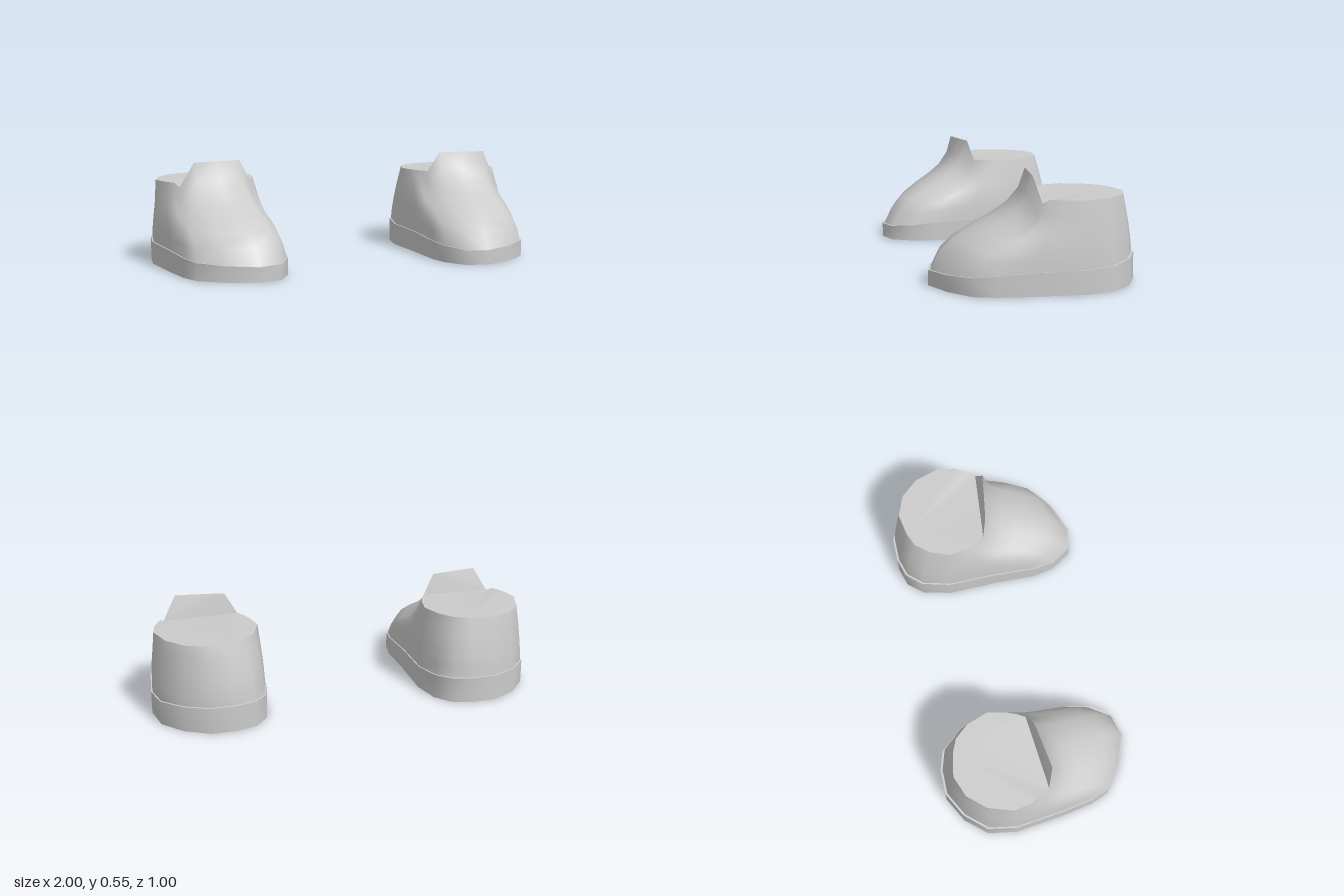
import * as THREE from 'three';

// Sole outline [x, z], clockwise from the heel as seen from above
const SOLE = [
  [0.62, -0.5], [0.75, -0.5], [0.88, -0.43], [0.975, -0.32], [1, -0.17], [0.97, 0.08],
  [0.94, 0.25], [0.9, 0.35], [0.78, 0.44], [0.62, 0.5], [0.505, 0.47], [0.435, 0.36],
  [0.415, 0.25], [0.42, 0.03], [0.415, -0.24], [0.45, -0.39], [0.52, -0.47],
];
// Opening outline [x, y, z]; points 8 to 10 are the top of the tongue
const OPENING = [
  [0.62, 0.44, -0.42], [0.74, 0.44, -0.442], [0.85, 0.44, -0.4], [0.93, 0.44, -0.31],
  [0.973, 0.44, -0.18], [0.955, 0.44, -0.09], [0.915, 0.44, -0.015], [0.895, 0.42, 0.015],
  [0.825, 0.545, 0.043], [0.7, 0.545, 0.025], [0.575, 0.545, 0.005], [0.515, 0.44, -0.02],
  [0.49, 0.44, -0.06], [0.468, 0.44, -0.12], [0.45, 0.44, -0.21], [0.49, 0.44, -0.32], [0.55, 0.44, -0.39],
];
// Instep curve: [height fraction, backward fraction]
const INSTEP = [[0, 0], [0.18, 0.09], [0.31, 0.225], [0.435, 0.43], [0.54, 0.63], [0.65, 0.8], [0.8, 0.93], [1, 1]];

const lerp = THREE.MathUtils.lerp;

// Height of the sole's upper edge, rising from toe to heel
function soleTop(z) {
  const c = [[-0.5, 0.135], [-0.2, 0.116], [0.1, 0.11], [0.2, 0.103], [0.5, 0.075]];
  let i = 0;
  while (i < c.length - 2 && z > c[i + 1][0]) i++;
  return lerp(c[i][1], c[i + 1][1], (z - c[i][0]) / (c[i + 1][0] - c[i][0]));
}

// Mesh from points and triangles, mirrored in x when side is -1
function makeMesh(name, points, tris, side) {
  const g = new THREE.BufferGeometry();
  g.setAttribute('position', new THREE.Float32BufferAttribute(points.flatMap(([x, y, z]) => [x * side, y, z]), 3));
  g.setIndex(tris.flatMap(([a, b, c]) => (side > 0 ? [a, b, c] : [a, c, b])));
  g.computeVertexNormals();
  const mesh = new THREE.Mesh(g, new THREE.MeshStandardMaterial({ color: 0xcccccc, side: THREE.DoubleSide }));
  mesh.name = name;
  return mesh;
}

// Skin through closed rings, from the lowest to the highest
function loft(name, rings, side) {
  const n = rings[0].length, tris = [];
  for (let k = 0; k < rings.length - 1; k++) {
    for (let i = 0; i < n; i++) {
      const a = k * n + i, b = k * n + (i + 1) % n;
      tris.push([a, a + n, b + n], [a, b + n, b]);
    }
  }
  return makeMesh(name, rings.flat(), tris, side);
}

// Flat fan over an outline
function cap(name, ring, up, side) {
  const tris = [];
  for (let i = 1; i < ring.length - 1; i++) tris.push(up ? [0, i + 1, i] : [0, i, i + 1]);
  return makeMesh(name, ring, tris, side);
}

function makeShoe(name, side) {
  const shoe = new THREE.Group();
  shoe.name = name;
  const inset = (p, s) => [lerp(0.7, p[0], s), p[1], p[2] * s];

  // Sole
  const bottom = SOLE.map(([x, z]) => [x, 0, z]);
  const edge = SOLE.map(([x, z]) => [x, soleTop(z), z]);
  const rim = edge.map((p) => inset(p, 0.95));
  shoe.add(loft('soleWall', [bottom, edge], side));
  shoe.add(loft('soleRim', [edge, rim], side));
  shoe.add(cap('soleBottom', bottom, false, side));

  // Upper: the front follows the instep, the heel rises almost straight
  const base = edge.map((p) => inset(p, 0.978));
  const rings = INSTEP.map(([h, back]) => base.map((p, i) => {
    const q = OPENING[i];
    const front = THREE.MathUtils.clamp(p[2] / 0.3, 0, 1);
    const t = lerp(Math.pow(h, 1.4), back, front);
    return [lerp(p[0], q[0], t), lerp(p[1], q[1], h), lerp(p[2], q[2], t)];
  }));
  shoe.add(loft('upper', rings, side));

  // Closed opening and the back of the tongue
  shoe.add(cap('openingCap', [...OPENING.slice(0, 8), ...OPENING.slice(11)], true, side));
  shoe.add(cap('tongueBack', OPENING.slice(7, 12), true, side));
  return shoe;
}

export function createModel() {
  const model = new THREE.Group();
  model.name = 'shoes';
  model.add(makeShoe('leftShoe', 1), makeShoe('rightShoe', -1));
  return model;
}
